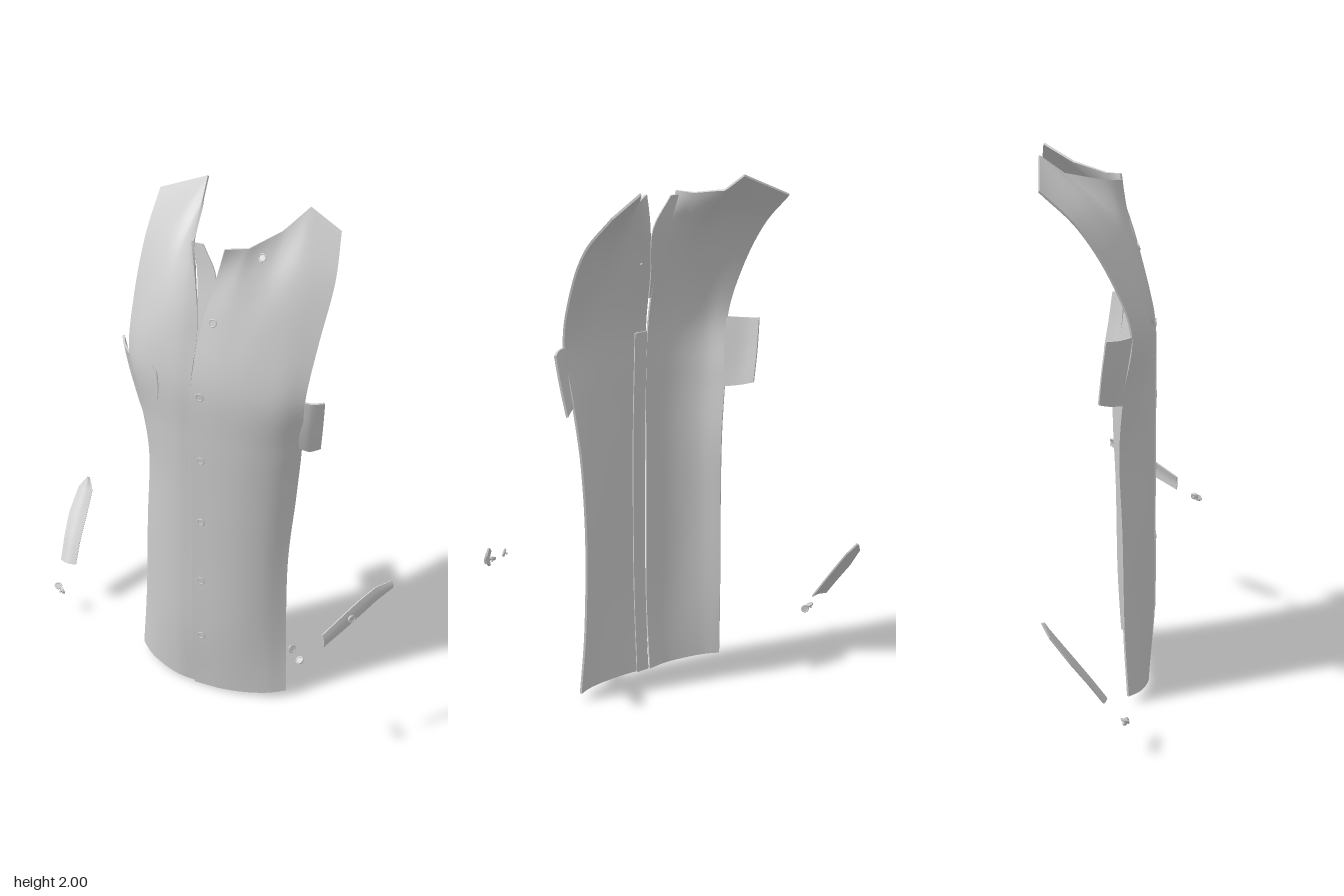
import * as THREE from 'three';

const grey = new THREE.MeshStandardMaterial({ color: 0xcccccc, side: THREE.DoubleSide });
const v3 = (p) => new THREE.Vector3(...p);

// Straight-line and smooth curves through points
const polyline = (pts) => ({ getPoint: (s) => {
  const f = s * (pts.length - 1), i = Math.min(Math.floor(f), pts.length - 2);
  return pts[i].clone().lerp(pts[i + 1], f - i);
} });
const spline = (pts) => new THREE.CatmullRomCurve3(pts, false, 'catmullrom', 0.5);

// Cloth sheet lofted through rows of points, with thickness t and closed rims;
// sections turn from smooth to cornered once past the fraction cornerFrom
function cloth(name, rows, nu, nv, { t = 0.008, along = spline, cornerFrom = 1 } = {}) {
  const columns = rows[0].map((_, c) => along(rows.map((r) => v3(r[c]))));
  const front = [], grid = [], w = nu + 1;
  for (let j = 0; j <= nv; j++) {
    const pts = columns.map((c) => c.getPoint(j / nv));
    const soft = spline(pts), hard = polyline(pts);
    const corner = cornerFrom < 1 ? THREE.MathUtils.smoothstep(j / nv, cornerFrom, 1) : 0;
    for (let i = 0; i <= nu; i++) front.push(soft.getPoint(i / nu).lerp(hard.getPoint(i / nu), corner));
  }
  for (let j = 0; j < nv; j++) for (let i = 0; i < nu; i++) {
    const a = j * w + i, b = a + 1, c = a + w, d = c + 1;
    grid.push(a, b, d, a, d, c);
  }
  const layer = new THREE.BufferGeometry().setFromPoints(front);
  layer.setIndex(grid);
  layer.computeVertexNormals();
  const n = layer.attributes.normal;
  const back = front.map((p, i) => p.clone().addScaledVector(new THREE.Vector3().fromBufferAttribute(n, i), -t));

  // Walk round the border for the rim, which has its own vertices
  const border = [];
  for (let i = 0; i < nu; i++) border.push(i);
  for (let j = 0; j < nv; j++) border.push(j * w + nu);
  for (let i = nu; i > 0; i--) border.push(nv * w + i);
  for (let j = nv; j > 0; j--) border.push(j * w);
  const N = front.length, points = [...front, ...back], index = [...grid];
  for (let k = 0; k < grid.length; k += 3) index.push(grid[k] + N, grid[k + 2] + N, grid[k + 1] + N);
  border.forEach((a, k) => {
    const b = border[(k + 1) % border.length], s = points.length;
    points.push(front[a], front[b], back[a], back[b]);
    index.push(s, s + 2, s + 1, s + 1, s + 2, s + 3);
  });
  const geo = new THREE.BufferGeometry().setFromPoints(points);
  geo.setIndex(index);
  geo.computeVertexNormals();
  const mesh = new THREE.Mesh(geo, grey);
  mesh.name = name;
  mesh.userData.front = front;
  return mesh;
}

// Round button with a raised rim and a short shank
function button(name, position, facing) {
  const g = new THREE.Group();
  const disc = new THREE.Mesh(new THREE.CylinderGeometry(0.016, 0.013, 0.007, 14), grey);
  disc.rotation.x = Math.PI / 2;
  const rim = new THREE.Mesh(new THREE.TorusGeometry(0.013, 0.003, 6, 14), grey);
  rim.position.z = 0.003;
  const shank = new THREE.Mesh(new THREE.CylinderGeometry(0.004, 0.004, 0.012, 8), grey);
  shank.rotation.x = Math.PI / 2;
  shank.position.z = -0.006;
  g.add(disc, rim, shank);
  g.position.set(...position);
  g.quaternion.setFromUnitVectors(new THREE.Vector3(0, 0, 1), v3(facing).normalize());
  g.name = name;
  return g;
}

export function createModel() {
  const model = new THREE.Group();

  // Front panels: rows run from hem to shoulder, points from the opening to the side
  const body = [
    [[-0.008, 0.005, 0.078], [0.1, 0.01, 0.073], [0.195, 0.017, 0.056], [0.28, 0.026, 0.028], [0.345, 0.035, -0.01]],
    [[-0.008, 0.3, 0.1], [0.095, 0.3, 0.09], [0.185, 0.3, 0.068], [0.265, 0.3, 0.028], [0.33, 0.3, -0.025]],
    [[-0.008, 0.65, 0.1], [0.095, 0.65, 0.09], [0.185, 0.65, 0.068], [0.263, 0.65, 0.028], [0.325, 0.65, -0.032]],
    [[-0.008, 0.95, 0.1], [0.1, 0.95, 0.09], [0.195, 0.95, 0.068], [0.28, 0.95, 0.025], [0.345, 0.95, -0.043]],
    [[-0.01, 1.18, 0.1], [0.1, 1.18, 0.092], [0.205, 1.18, 0.072], [0.295, 1.18, 0.033], [0.367, 1.18, -0.028]],
    [[-0.012, 1.4, 0.094], [0.1, 1.4, 0.09], [0.21, 1.4, 0.076], [0.31, 1.4, 0.048], [0.385, 1.4, 0.0]],
    [[0.0, 1.6, 0.045], [0.1, 1.61, 0.045], [0.2, 1.61, 0.03], [0.3, 1.61, -0.012], [0.397, 1.6, -0.07]],
  ];
  const leftTop = [
    [[0.03, 1.77, -0.003], [0.11, 1.765, -0.005], [0.2, 1.775, -0.055], [0.29, 1.81, -0.125], [0.4, 1.78, -0.18]],
    [[0.06, 1.9, -0.022], [0.125, 1.895, -0.075], [0.195, 1.925, -0.19], [0.25, 1.983, -0.295], [0.365, 1.915, -0.3]],
  ];
  const rightTop = [
    [[-0.045, 1.77, -0.003], [-0.1, 1.77, -0.015], [-0.15, 1.785, -0.06], [-0.22, 1.82, -0.13], [-0.337, 1.78, -0.18]],
    [[-0.07, 1.9, -0.025], [-0.095, 1.905, -0.1], [-0.135, 1.935, -0.225], [-0.155, 2.0, -0.31], [-0.345, 1.91, -0.31]],
  ];
  // The right panel mirrors the left one but is narrower, row by row
  const narrow = [0.826, 0.835, 0.825, 0.76, 0.776, 0.81, 0.82];
  const rightBody = body.map((row, r) => row.map(([x, y, z], c) => (
    c === 0 ? [r < 5 ? -0.01 : -0.016, y, z - 0.008] : [-x * narrow[r], y, z])));
  const left = cloth('leftFrontPanel', [...body, ...leftTop], 24, 72, { cornerFrom: 0.86 });
  const rightRows = [...rightBody, ...rightTop].map((row) => [...row].reverse());
  model.add(left, cloth('rightFrontPanel', rightRows, 24, 72, { cornerFrom: 0.86 }));

  // Strips behind the opening: y, inner x, outer x, z
  const strip = (list) => list.map(([y, a, b, z]) => [[a, y, z], [b, y, z - 0.004]]);
  model.add(cloth('buttonFacing', strip([
    [0.01, 0.0, 0.052, 0.064], [0.4, 0.0, 0.052, 0.083], [0.95, 0.0, 0.052, 0.084], [1.37, -0.008, 0.045, 0.079],
  ]), 4, 30, { t: 0.005 }));
  model.add(cloth('collarFacing', strip([
    [1.5, -0.018, -0.004, 0.064], [1.6, -0.022, 0.006, 0.034], [1.77, -0.042, 0.028, -0.015], [1.89, -0.068, -0.032, -0.036],
  ]), 4, 16, { t: 0.005 }));

  // Side flaps below the armholes
  model.add(cloth('leftSideFlap', [
    [[0.355, 1.185, -0.018], [0.39, 1.165, -0.04], [0.419, 1.165, -0.075]],
    [[0.365, 1.28, -0.005], [0.402, 1.28, -0.02], [0.433, 1.28, -0.055]],
    [[0.378, 1.395, 0.004], [0.412, 1.39, -0.008], [0.443, 1.385, -0.04]],
  ], 6, 8));
  model.add(cloth('rightSideFlap', [
    [[-0.352, 1.165, -0.115], [-0.32, 1.15, -0.075], [-0.278, 1.14, -0.03]],
    [[-0.372, 1.28, -0.105], [-0.345, 1.28, -0.06], [-0.29, 1.28, -0.01]],
    [[-0.39, 1.4, -0.09], [-0.36, 1.395, -0.045], [-0.308, 1.395, 0.004]],
  ], 6, 8));

  // Detached pointed tabs, slightly arched across
  const leftTab = [
    [0.588, 0.56, 0.218, 0.028], [0.635, 0.607, 0.13, 0.033], [0.665, 0.638, 0.075, 0.034],
    [0.7, 0.672, 0.015, 0.03], [0.738, 0.69, -0.045, 0.016],
  ].map(([x, y, z, h]) => [[x - 0.004, y + h, z], [x + 0.003, y, z + 0.002], [x + 0.001, y - h, z]]);
  model.add(cloth('leftTab', leftTab, 4, 12, { t: 0.006, along: polyline }));
  const rightTab = [
    [0.22, -0.725, -0.655, -0.105], [0.3, -0.738, -0.664, -0.16], [0.38, -0.747, -0.668, -0.22],
    [0.47, -0.738, -0.674, -0.288], [0.51, -0.71, -0.7, -0.315],
  ].map(([y, a, b, z]) => [[a, y, z - 0.004], [(a + b) / 2, y, z + 0.006], [b, y, z - 0.004]]);
  model.add(cloth('rightTab', rightTab, 4, 12, { t: 0.006, along: polyline }));

  // Buttons down the left edge, seated on the panel
  const spots = [[0.165, 1.86], [0.045, 1.64], [0.025, 1.365], [0.03, 1.095], [0.03, 0.82], [0.03, 0.545], [0.03, 0.275]];
  for (const [x, y] of spots) {
    const gap = (p) => Math.hypot(p.x - x, p.y - y);
    const near = left.userData.front.reduce((a, b) => (gap(b) < gap(a) ? b : a));
    model.add(button('frontButton', [x, y, near.z], [0.05, Math.max(0, (y - 1.45) * 1.8), 1]));
  }
  model.add(button('tabButton', [0.65, 0.615, 0.118], [0.86, 0.1, 0.5]));

  // Loose buttons beside the tabs
  const loose = [
    [[0.492, 0.535, 0.28], [0.8, 0.3, 0.5]], [[0.535, 0.513, 0.3], [-0.3, 0.8, 0.5]],
    [[-0.7, 0.14, -0.04], [0.3, 0.9, 0.3]], [[-0.68, 0.128, -0.035], [0.5, 0.2, -0.8]],
  ];
  loose.forEach(([p, n]) => model.add(button('looseButton', p, n)));

  // Small curved welt on the right chest
  const path = spline([[-0.175, 1.425, 0.072], [-0.156, 1.4, 0.08], [-0.15, 1.34, 0.081], [-0.156, 1.285, 0.078]].map(v3));
  const welt = new THREE.Mesh(new THREE.TubeGeometry(path, 16, 0.004, 6), grey);
  welt.name = 'chestWelt';
  model.add(welt);
  return model;
}
